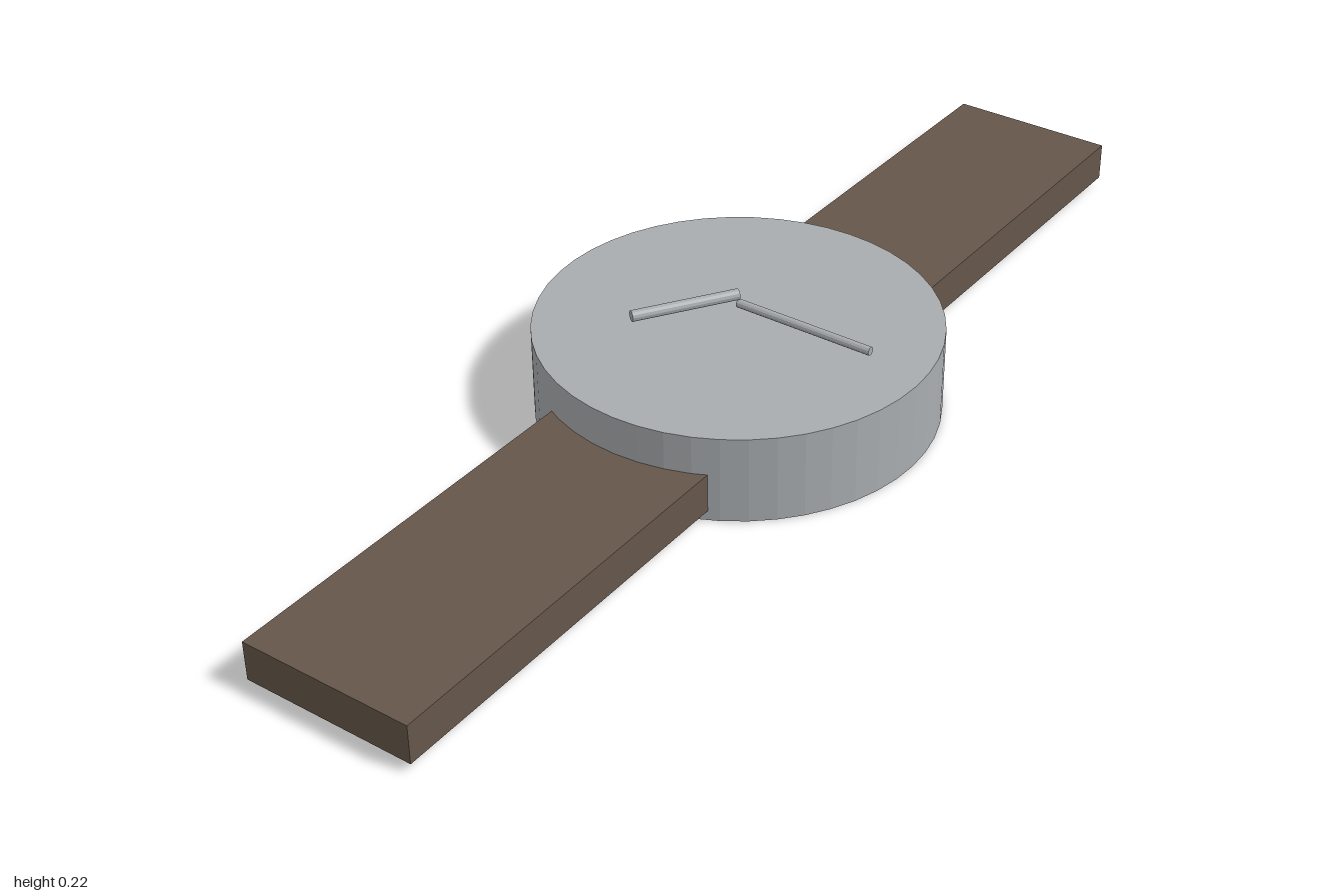
import * as THREE from 'three';

export function createModel() {
  const group = new THREE.Group();
  const metal = new THREE.MeshStandardMaterial({ color: 0xa9adb0, flatShading: true });
  metal.name = 'brushed steel';
  const leather = new THREE.MeshStandardMaterial({ color: 0x65564a });
  leather.name = 'brown leather';

  const add = (name, geometry, material) => {
    const mesh = new THREE.Mesh(geometry, material);
    mesh.name = name;
    group.add(mesh);
    return mesh;
  };

  // Round watch case
  add('case', new THREE.CylinderGeometry(0.341, 0.341, 0.155, 48), metal).position.y = 0.0775;

  // Two strap halves, their inner ends sunk into the case
  for (const [name, side] of [['frontStrap', 1], ['backStrap', -1]]) {
    add(name, new THREE.BoxGeometry(0.306, 0.069, 0.75), leather).position.set(0, 0.052, side * 0.625);
  }

  // Rod-shaped hands reaching out from the centre above the dial
  const addHand = (name, radius, y, endX, endZ) => {
    const end = new THREE.Vector3(endX, 0, endZ);
    const hand = add(name, new THREE.CylinderGeometry(radius, radius, end.length(), 12), metal);
    hand.position.set(endX / 2, y, endZ / 2);
    hand.quaternion.setFromUnitVectors(new THREE.Vector3(0, 1, 0), end.normalize());
  };
  addHand('minuteHand', 0.0075, 0.189, 0.255, 0);
  addHand('hourHand', 0.0095, 0.206, -0.103, 0.154);

  return group;
}
